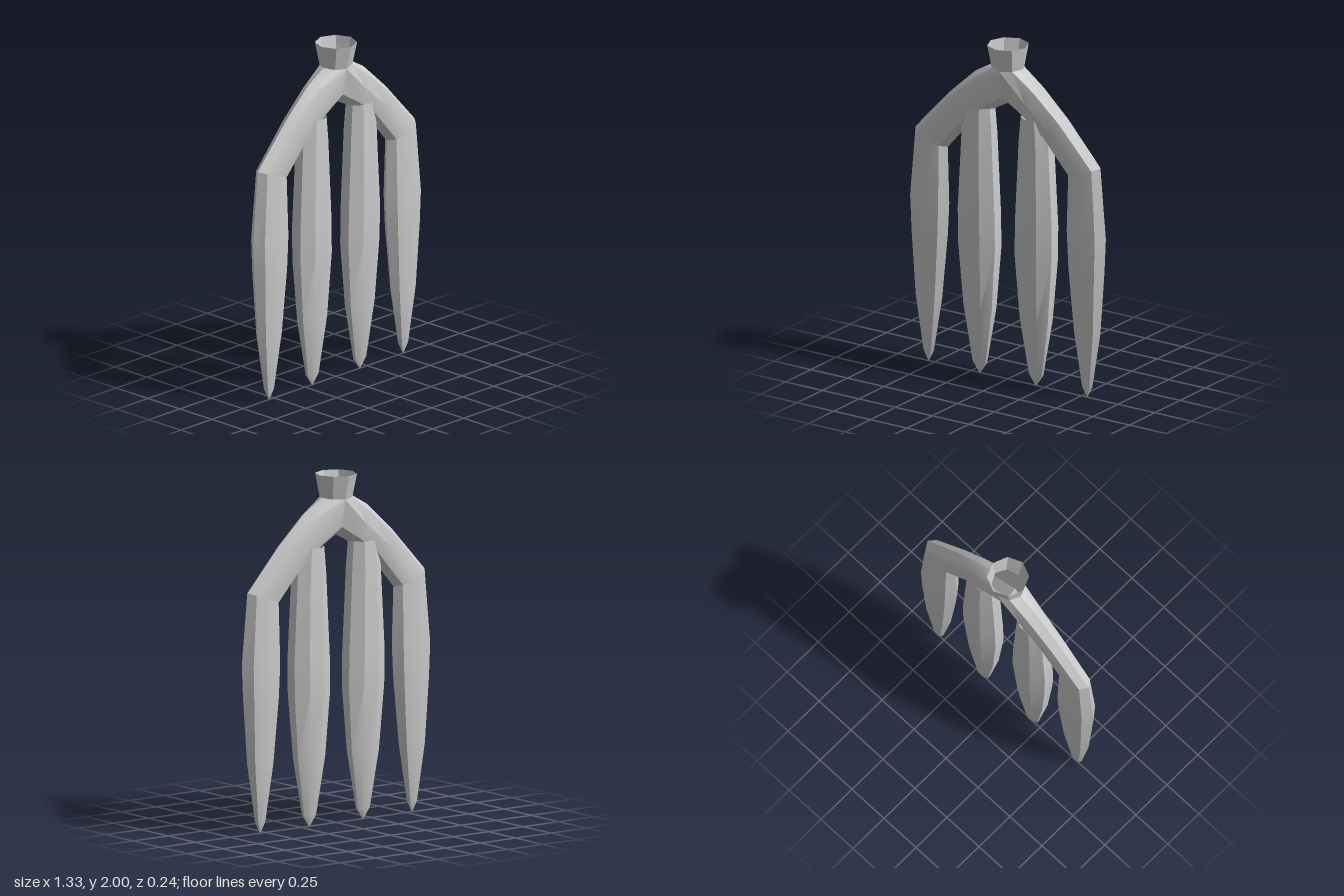
import * as THREE from 'three';
import { toCreasedNormals } from 'three/addons/utils/BufferGeometryUtils.js';

const SIDES = 8;
const material = new THREE.MeshStandardMaterial({ color: 0xcccccc, side: THREE.DoubleSide });

// Eight-sided section between an outer and an inner point, with half depth d
function section(ox, oy, ix, iy, d, turn = 0) {
  return Array.from({ length: SIDES }, (_, k) => {
    const a = ((k + turn) / SIDES) * Math.PI * 2;
    const t = 0.5 + Math.cos(a) / 2;
    return [ix + (ox - ix) * t, iy + (oy - iy) * t, d * Math.sin(a)];
  });
}

// Skin joining consecutive rings, running from top to bottom
function loft(rings) {
  const pos = [];
  for (let r = 0; r < rings.length - 1; r++) {
    const a = rings[r], b = rings[r + 1];
    for (let i = 0; i < SIDES; i++) {
      const j = (i + 1) % SIDES;
      pos.push(...a[i], ...a[j], ...b[j], ...a[i], ...b[j], ...b[i]);
    }
  }
  const geo = new THREE.BufferGeometry();
  geo.setAttribute('position', new THREE.Float32BufferAttribute(pos, 3));
  return toCreasedNormals(geo, 0.55);
}

const mirror = (rings) => rings.map((ring) => ring.map(([x, y, z]) => [-x, y, z]).reverse());

export function createModel() {
  const group = new THREE.Group();
  const add = (name, rings) => {
    const mesh = new THREE.Mesh(loft(rings), material);
    mesh.name = name;
    group.add(mesh);
  };

  // Open flared collar
  const base = [
    [0.1, 1.87, 0], [0.07, 1.865, 0.06], [0, 1.86, 0.085], [-0.07, 1.865, 0.06],
    [-0.1, 1.87, 0], [-0.07, 1.865, -0.06], [0, 1.86, -0.085], [0.07, 1.865, -0.06],
  ];
  add('collar', [section(0.118, 2, -0.118, 2, 0.12), base]);

  // Arm root: half of the collar's lower rim plus the crotch between the arms
  const root = [
    base[0], base[1], base[2], [0, 1.7, 0.055],
    [0, 1.65, 0], [0, 1.7, -0.055], base[6], base[7],
  ];
  // Hollow arm bending down into the outer tine
  const arm = [
    root,
    section(0.22, 1.8, 0.12, 1.585, 0.077),
    section(0.4, 1.635, 0.25, 1.49, 0.069),
    section(0.63, 1.385, 0.41, 1.305, 0.062),
  ];
  const outerTine = [
    arm[3],
    section(0.667, 0.97, 0.4, 0.97, 0.077),
    section(0.658, 0.78, 0.41, 0.78, 0.073),
    section(0.63, 0.4, 0.448, 0.4, 0.053),
    section(0.575, 0.07, 0.505, 0.07, 0.022),
    section(0.543, 0.008, 0.537, 0.008, 0.003),
  ];

  // Inner tine: [height, inner x, outer x, half depth]
  const w = 1 / Math.cos(Math.PI / SIDES);
  const innerTine = [
    [1.6, 0.105, 0.27, 0.066],
    [1.45, 0.093, 0.295, 0.073],
    [0.97, 0.07, 0.32, 0.08],
    [0.77, 0.067, 0.318, 0.078],
    [0.4, 0.095, 0.288, 0.056],
    [0.07, 0.148, 0.235, 0.022],
    [0.005, 0.188, 0.194, 0.003],
  ].map(([y, x0, x1, d]) => {
    const c = (x0 + x1) / 2, h = ((x1 - x0) / 2) * w;
    return section(c + h, y, c - h, y, d * w, 0.5);
  });

  const parts = { Arm: arm, OuterTine: outerTine, InnerTine: innerTine };
  for (const [name, rings] of Object.entries(parts)) {
    add('left' + name, rings);
    add('right' + name, mirror(rings));
  }
  return group;
}
